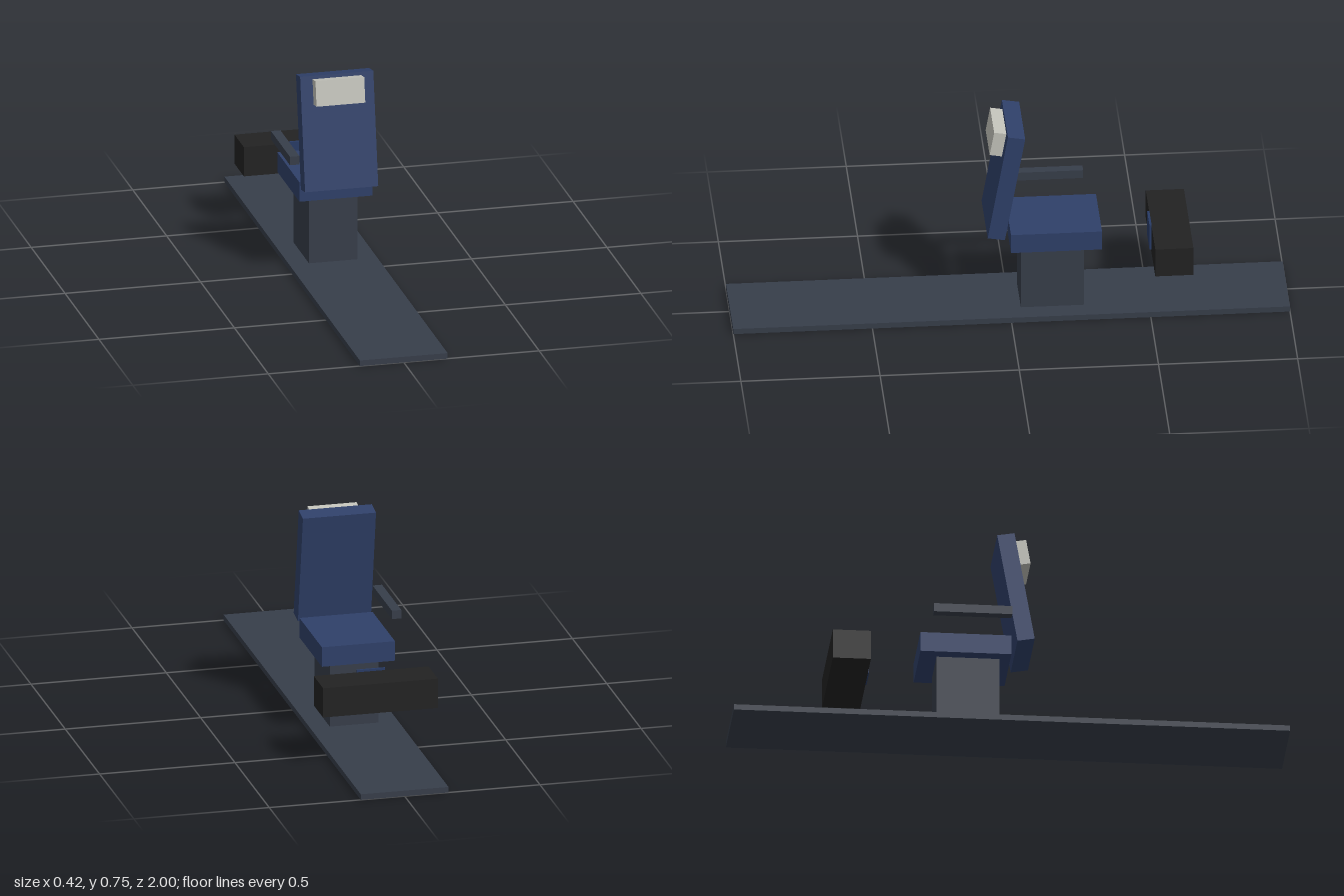
import * as THREE from 'three';

const mat = (name, color) => {
  const m = new THREE.MeshStandardMaterial({ color });
  m.name = name;
  return m;
};

export function createModel() {
  const slate = mat('slate metal', 0x373e4a);
  const blue = mat('blue upholstery', 0x2f4069);
  const black = mat('black console', 0x222222);
  const cream = mat('cream headrest', 0xc3c3bb);
  const screenBlue = mat('screen blue', 0x283b66);

  const model = new THREE.Group();
  model.name = 'seat and console';

  // Box given by its extents along each axis
  const box = (parent, name, material, [x0, x1], [y0, y1], [z0, z1]) => {
    const mesh = new THREE.Mesh(new THREE.BoxGeometry(x1 - x0, y1 - y0, z1 - z0), material);
    mesh.name = name;
    mesh.position.set((x0 + x1) / 2, (y0 + y1) / 2, (z0 + z1) / 2);
    parent.add(mesh);
  };

  // Floor rail and pedestal
  box(model, 'floorPlate', slate, [-0.162, 0.162], [0, 0.021], [-1, 1]);
  box(model, 'pedestal', slate, [-0.09, 0.09], [0.021, 0.273], [-0.265, -0.039]);

  // Seat cushion and single armrest on the right
  box(model, 'seatCushion', blue, [-0.135, 0.135], [0.273, 0.347], [-0.327, 0]);
  box(model, 'armrest', slate, [-0.17, -0.135], [0.415, 0.447], [-0.281, 0]);

  // Reclined backrest carrying the headrest
  const back = new THREE.Group();
  back.name = 'backrest';
  back.position.set(0, 0.5395, 0.0165);
  back.rotation.x = -THREE.MathUtils.degToRad(10);
  box(back, 'backPad', blue, [-0.135, 0.135], [-0.21, 0.21], [-0.0315, 0.0315]);
  box(back, 'headrest', cream, [-0.09, 0.09], [0.105, 0.198], [0.0315, 0.076]);
  model.add(back);

  // Console block with a thin screen on the side facing the seat
  box(model, 'console', black, [-0.212, 0.212], [0.197, 0.308], [-0.649, -0.512]);
  box(model, 'screen', screenBlue, [-0.052, 0.052], [0.217, 0.316], [-0.512, -0.504]);

  return model;
}
